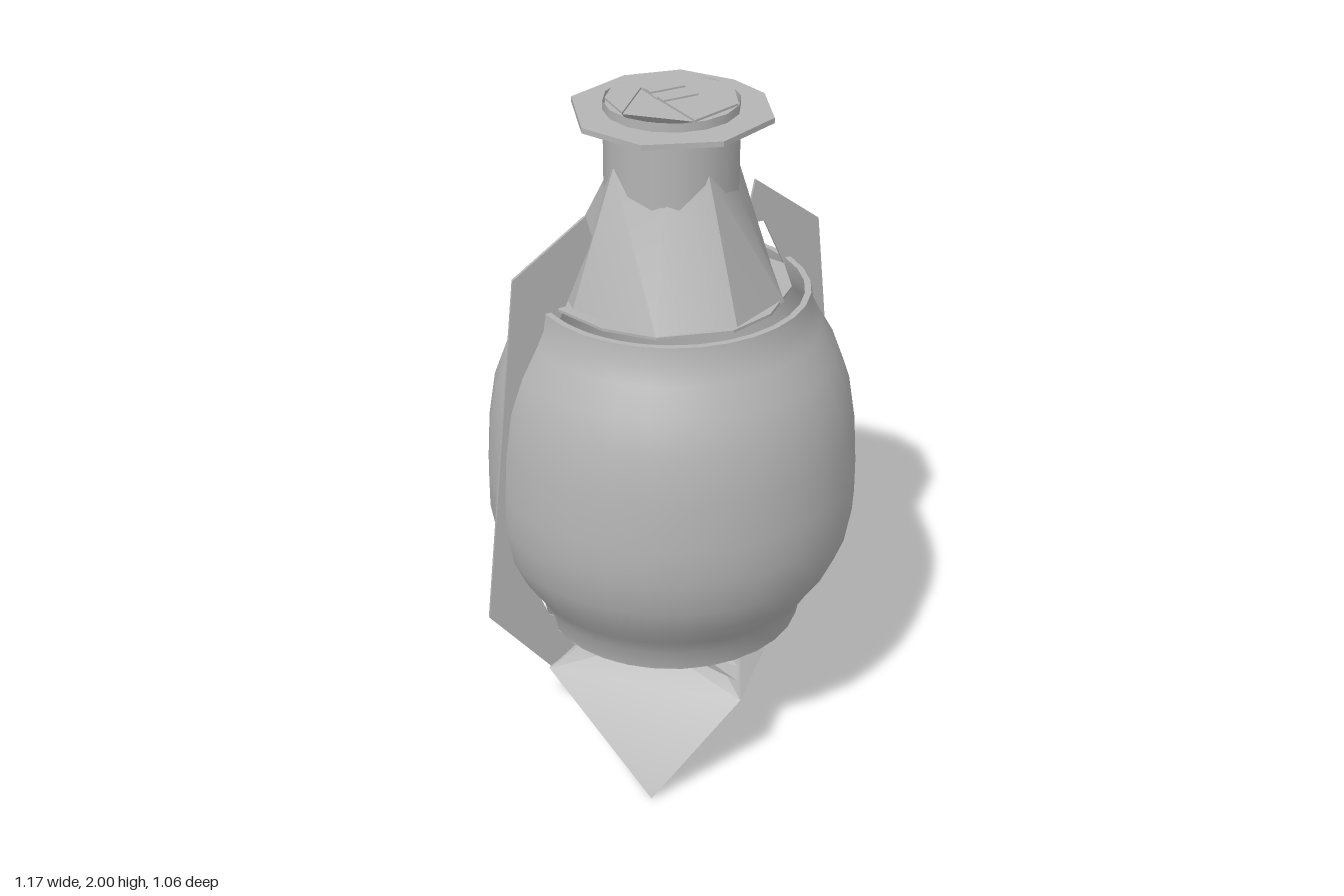
import * as THREE from 'three';
import { toCreasedNormals } from 'three/addons/utils/BufferGeometryUtils.js';
import { ConvexGeometry } from 'three/addons/geometries/ConvexGeometry.js';

export function createModel() {
  const model = new THREE.Group();
  const grey = new THREE.MeshStandardMaterial({ color: 0xb4b4b4, side: THREE.DoubleSide });
  grey.name = 'plain grey';

  const add = (name, geometry) => {
    const mesh = new THREE.Mesh(geometry, grey);
    mesh.name = name;
    model.add(mesh);
    return mesh;
  };
  const vec2 = (pts) => pts.map(([x, y]) => new THREE.Vector2(x, y));
  const vec3 = (pts) => pts.map((p) => new THREE.Vector3(...p));

  // Thin horizontal plate from an (x, z) outline, with its top at height y
  const plate = (name, outline, y, depth) => {
    const g = new THREE.ExtrudeGeometry(new THREE.Shape(vec2(outline)), { depth, bevelEnabled: false });
    g.rotateX(Math.PI / 2);
    return add(name, g.translate(0, y, 0));
  };
  // Single folded scrap of sheet, as a fan from the first point
  const sheet = (name, pts) => {
    const tris = [];
    for (let i = 1; i < pts.length - 1; i++) tris.push(pts[0], pts[i], pts[i + 1]);
    const g = new THREE.BufferGeometry().setFromPoints(vec3(tris));
    g.computeVertexNormals();
    return add(name, g);
  };
  // Walls between two rings of equal point count
  const loft = (name, low, high) => {
    const tris = [];
    low.forEach((a, i) => {
      const j = (i + 1) % low.length;
      tris.push(a, high[i], low[j], low[j], high[i], high[j]);
    });
    const g = new THREE.BufferGeometry().setFromPoints(vec3(tris));
    g.computeVertexNormals();
    return add(name, toCreasedNormals(g, 0.6));
  };

  // Tank: triangular foot rising to a four-cornered shoulder and a small top
  const tank = [
    [-0.27, 0, 0.37], [0.41, 0, -0.19], [0.02, 0, -0.47],
    [-0.41, 0.28, 0], [0, 0.28, 0.41], [0.415, 0.28, 0], [0, 0.27, -0.42],
  ];
  for (let i = 0; i < 8; i++) {
    const a = (i / 8) * Math.PI * 2;
    tank.push([0.21 * Math.cos(a), 0.375, 0.21 * Math.sin(a)]);
  }
  add('tank', toCreasedNormals(new ConvexGeometry(vec3(tank)), 0.75));
  plate('burnerPlate', [[-0.25, 0], [-0.15, -0.17], [0.05, -0.21], [0.18, -0.1],
    [0.19, 0.1], [0.05, 0.23], [-0.16, 0.17]], 0.397, 0.008);

  // Curled tabs at the burner rim
  sheet('frontTab', [[-0.06, 0.375, 0.25], [0.01, 0.395, 0.25], [0.02, 0.36, 0.36],
    [-0.01, 0.35, 0.41], [-0.05, 0.34, 0.27]]);
  sheet('sideTab', [[0.21, 0.385, 0], [0.31, 0.365, 0.06], [0.4, 0.29, 0.04],
    [0.41, 0.28, -0.02], [0.3, 0.345, -0.07]]);

  // Glass globe, open at both ends, with a thin inner wall
  const wall = [[0.375, 0.4], [0.388, 0.46], [0.425, 0.52], [0.47, 0.585], [0.51, 0.67],
    [0.53, 0.78], [0.53, 0.88], [0.522, 1.02], [0.502, 1.15], [0.465, 1.25],
    [0.42, 1.33], [0.396, 1.38], [0.388, 1.43]];
  add('globe', new THREE.LatheGeometry(vec2(wall), 30));
  add('globeInside', new THREE.LatheGeometry(vec2(wall.map(([r, y]) => [r - 0.018, y])), 30));
  for (const [r, y] of [wall[0], wall[wall.length - 1]]) {
    const lip = new THREE.RingGeometry(r - 0.018, r, 30);
    lip.rotateX(y > 1 ? -Math.PI / 2 : Math.PI / 2);
    add(y > 1 ? 'globeTopLip' : 'globeBottomLip', lip.translate(0, y, 0));
  }

  // Side frame arms: thin sheets running past the globe
  const arms = {
    leftArm: [[0.27, 1.69], [0.48, 1.53], [0.585, 0.48], [0.38, 0.43], [0.48, 0.65],
      [0.52, 0.9], [0.47, 1.2], [0.36, 1.43], [0.3, 1.56], [0.24, 1.56]],
    rightArm: [[-0.26, 1.69], [-0.48, 1.55], [-0.59, 0.51], [-0.4, 0.28], [-0.24, 0.38],
      [-0.4, 0.46], [-0.48, 0.65], [-0.52, 0.9], [-0.46, 1.2], [-0.33, 1.43], [-0.24, 1.62]],
  };
  for (const [name, outline] of Object.entries(arms)) {
    const g = new THREE.ExtrudeGeometry(new THREE.Shape(vec2(outline)), { depth: 0.008, bevelEnabled: false });
    add(name, g.translate(0, 0, -0.014));
  }

  // Faceted chimney cone
  const rim = [[-0.32, 0.02], [-0.2, 0.28], [0.02, 0.33], [0.22, 0.24],
    [0.31, 0.02], [0.24, -0.22], [0, -0.35], [-0.27, -0.2]];
  const neckRing = rim.map(([x, z], i) => {
    const s = 0.185 / Math.hypot(x, z);
    return [x * s, i % 2 ? 1.74 : 1.82, z * s - (i === 6 ? 0.03 : 0)];
  });
  loft('chimneyCone', rim.map(([x, z]) => [x, 1.43, z]), neckRing);
  plate('chimneyRim', [[-0.35, 0], [-0.3, 0.16], [-0.2, 0.28], [0, 0.34], [0.14, 0.3],
    [0.28, 0.18], [0.34, 0.04], [0.26, -0.16], [0.1, -0.31], [0, -0.35],
    [-0.2, -0.27], [-0.3, -0.17]], 1.438, 0.008);

  // Neck
  const neck = new THREE.CylinderGeometry(0.186, 0.186, 0.28, 16, 1, true);
  add('neck', neck.translate(0, 1.84, 0));

  // Hood disc and the cap above it, cut open on one side
  plate('hoodDisc', [[-0.28, 0.02], [-0.2, 0.2], [0, 0.28], [0.2, 0.2], [0.27, 0.03],
    [0.25, -0.1], [0.16, -0.24], [0, -0.275], [-0.2, -0.2]], 1.955, 0.015);
  plate('cap', [[0, -0.19], [0.12, -0.13], [0.19, 0], [0.13, 0.13], [-0.03, 0.18],
    [-0.04, -0.1], [-0.17, 0.04], [-0.16, -0.08], [-0.1, -0.15]], 1.985, 0.006);
  sheet('capFold', [[-0.17, 1.98, 0.04], [-0.03, 1.98, 0.18], [-0.04, 1.8, -0.1]]);

  // Handle plate at the very top, in two strips with a groove
  for (const z of [-0.038, 0.032]) {
    const strip = new THREE.BoxGeometry(0.106, 0.005, 0.036);
    add('handleStrip', strip.translate(0, 1.9975, z));
  }
  add('handleGroove', new THREE.BoxGeometry(0.106, 0.004, 0.036).translate(0, 1.992, -0.003));

  return model;
}
